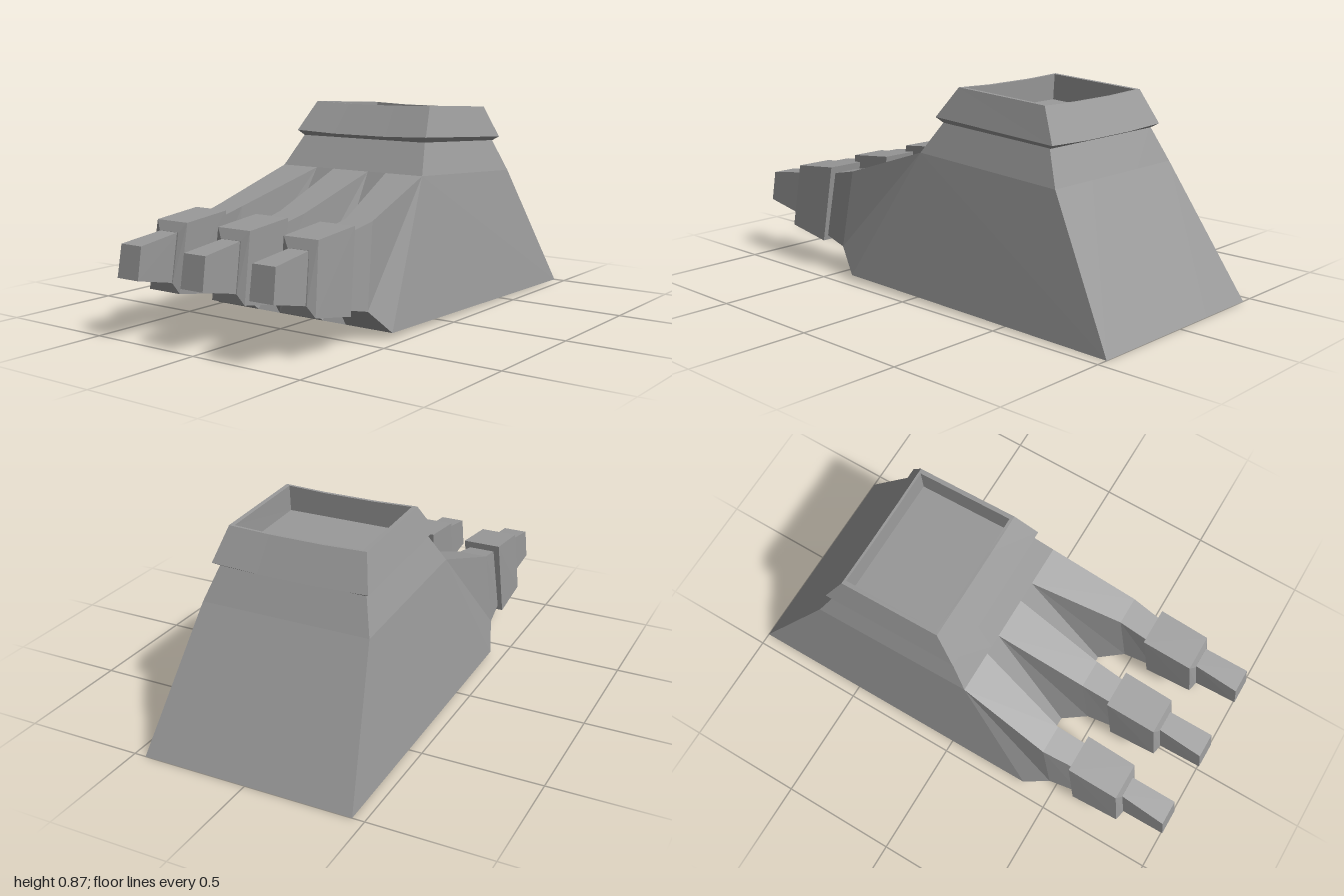
import * as THREE from 'three';

const material = new THREE.MeshStandardMaterial({ color: 0x999999, flatShading: true });

// Skin a list of equal-sized point rings; rings run anticlockwise seen from the end of the loft
function loft(name, rings, capStart, capEnd) {
  const pos = [];
  const tri = (a, b, c) => pos.push(...a, ...b, ...c);
  const n = rings[0].length;
  for (let r = 0; r < rings.length - 1; r++) {
    const a = rings[r], b = rings[r + 1];
    for (let i = 0; i < n; i++) {
      const j = (i + 1) % n;
      // Opposite diagonals on the two halves keep the part symmetrical
      if (i < n / 2) {
        tri(a[i], a[j], b[i]);
        tri(a[j], b[j], b[i]);
      } else {
        tri(a[i], a[j], b[j]);
        tri(a[i], b[j], b[i]);
      }
    }
  }
  const first = rings[0], last = rings[rings.length - 1];
  for (let i = 1; i < n - 1; i++) {
    if (capStart) tri(first[0], first[i + 1], first[i]);
    if (capEnd) tri(last[0], last[i], last[i + 1]);
  }
  const geometry = new THREE.BufferGeometry();
  geometry.setAttribute('position', new THREE.Float32BufferAttribute(pos, 3));
  geometry.computeVertexNormals();
  const mesh = new THREE.Mesh(geometry, material);
  mesh.name = name;
  return mesh;
}

// Horizontal ring: half width, front z and y, back z and y, sag in the middle of the edges
function level(w, fz, fy, bz, by, sag = 0) {
  const m = w * 0.4;
  return [
    [-w, fy, fz], [-m, fy - sag, fz], [m, fy - sag, fz], [w, fy, fz],
    [w, by, bz], [m, by - sag, bz], [-m, by - sag, bz], [-w, by, bz],
  ];
}

// Upright ring: top z, y, half width, centre x, then the same for the bottom
function slice(tz, ty, tw, tx, bz, by, bw, bx) {
  return [[bx + bw, by, bz], [tx + tw, ty, tz], [tx - tw, ty, tz], [bx - bw, by, bz]];
}

// One toe; s is -1, 0 or 1 across the foot
function makeToe(name, s) {
  const toe = new THREE.Group();
  toe.name = name;
  // Ridge growing out of the sloping front of the foot
  toe.add(loft('toeRidge', [
    slice(0.03, 0.591, 0.09, 0.27 * s, 0.37, 0.024, 0.112, 0.338 * s),
    slice(0.42, 0.46, 0.062, 0.328 * s, 0.475, 0.122, 0.07, 0.338 * s),
    slice(0.56, 0.43, 0.056, 0.32 * s, 0.61, 0.152, 0.06, 0.333 * s),
  ], false, true));
  // Thick knuckle block with a bevelled front
  toe.add(loft('toeKnuckle', [
    slice(0.547, 0.461, 0.082, 0.32 * s, 0.595, 0.128, 0.082, 0.335 * s),
    slice(0.767, 0.439, 0.08, 0.321 * s, 0.805, 0.163, 0.082, 0.334 * s),
    slice(0.785, 0.4, 0.05, 0.323 * s, 0.815, 0.203, 0.052, 0.332 * s),
  ], true, true));
  // Narrow tip
  toe.add(loft('toeTip', [
    slice(0.77, 0.401, 0.045, 0.325 * s, 0.8, 0.202, 0.047, 0.331 * s),
    slice(0.98, 0.374, 0.053, 0.328 * s, 1.0, 0.244, 0.055, 0.331 * s),
  ], false, true));
  return toe;
}

export function createModel() {
  const foot = new THREE.Group();
  foot.name = 'foot';

  // Wedge-shaped body
  foot.add(loft('body', [
    level(0.45, 0.37, 0.024, -1, 0),
    level(0.36, 0.03, 0.591, -0.68, 0.55),
    level(0.314, -0.06, 0.722, -0.612, 0.692),
  ], true, true));

  // Ankle collar with an undercut rim and a sunken socket
  foot.add(loft('ankleCollar', [
    level(0.314, -0.058, 0.717, -0.615, 0.686),
    level(0.333, -0.038, 0.726, -0.638, 0.69, 0.006),
    level(0.335, -0.034, 0.741, -0.642, 0.703, 0.007),
    level(0.295, -0.125, 0.865, -0.57, 0.84, 0.006),
    level(0.276, -0.137, 0.864, -0.56, 0.84, 0.006),
    level(0.275, -0.131, 0.755, -0.552, 0.732),
  ].filter((ring, i) => i !== 1), true, true));

  foot.add(makeToe('leftToe', 1), makeToe('middleToe', 0), makeToe('rightToe', -1));
  return foot;
}
